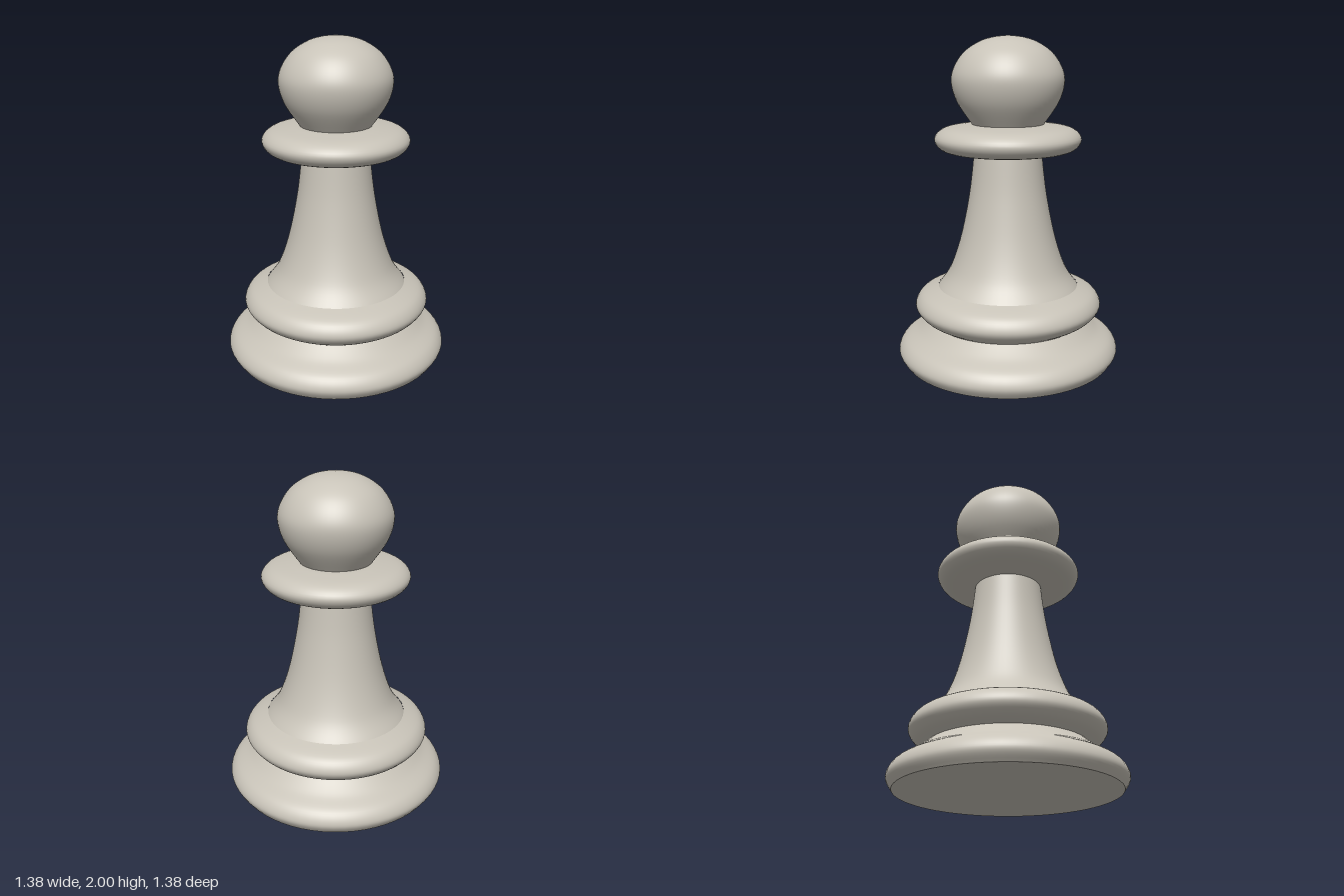
import * as THREE from 'three';

const SEGMENTS = 64;

export function createModel() {
  const model = new THREE.Group();
  model.name = 'pawn';
  const stone = new THREE.MeshStandardMaterial({ color: 0xc8c3b8 });
  stone.name = 'warm grey stone';

  // Smooth turned part; the profile runs from bottom to top as [radius, height]
  function turned(name, profile, steps) {
    const curve = new THREE.SplineCurve(profile.map(([r, y]) => new THREE.Vector2(r, y)));
    const points = curve.getPoints(steps);
    points.forEach((p) => { p.x = Math.max(p.x, 0); });
    const mesh = new THREE.Mesh(new THREE.LatheGeometry(points, SEGMENTS), stone);
    mesh.name = name;
    model.add(mesh);
  }

  // Flat underside
  const underside = new THREE.Mesh(new THREE.CircleGeometry(0.655, SEGMENTS), stone);
  underside.name = 'underside';
  underside.rotation.x = Math.PI / 2;
  model.add(underside);

  // Flared foot
  turned('foot', [[0.655, 0], [0.69, 0.065], [0.655, 0.135], [0.56, 0.19], [0.48, 0.255]], 24);

  // Rounded ring above the foot
  turned('lowerRing', [[0.48, 0.252], [0.545, 0.295], [0.58, 0.355], [0.54, 0.425], [0.435, 0.47]], 24);

  // Tapering stem
  turned('stem', [[0.435, 0.468], [0.36, 0.58], [0.292, 0.78], [0.237, 1.05], [0.207, 1.3]], 24);

  // Thin collar
  turned('collar', [[0.2, 1.293], [0.27, 1.297], [0.4, 1.322], [0.447, 1.387],
    [0.395, 1.447], [0.27, 1.472], [0.2, 1.476]], 32);

  // Slightly flattened ball
  turned('head', [[0.215, 1.47], [0.305, 1.605], [0.34, 1.72], [0.325, 1.81], [0.265, 1.9],
    [0.175, 1.962], [0.09, 1.99], [0, 2]], 40);

  return model;
}
